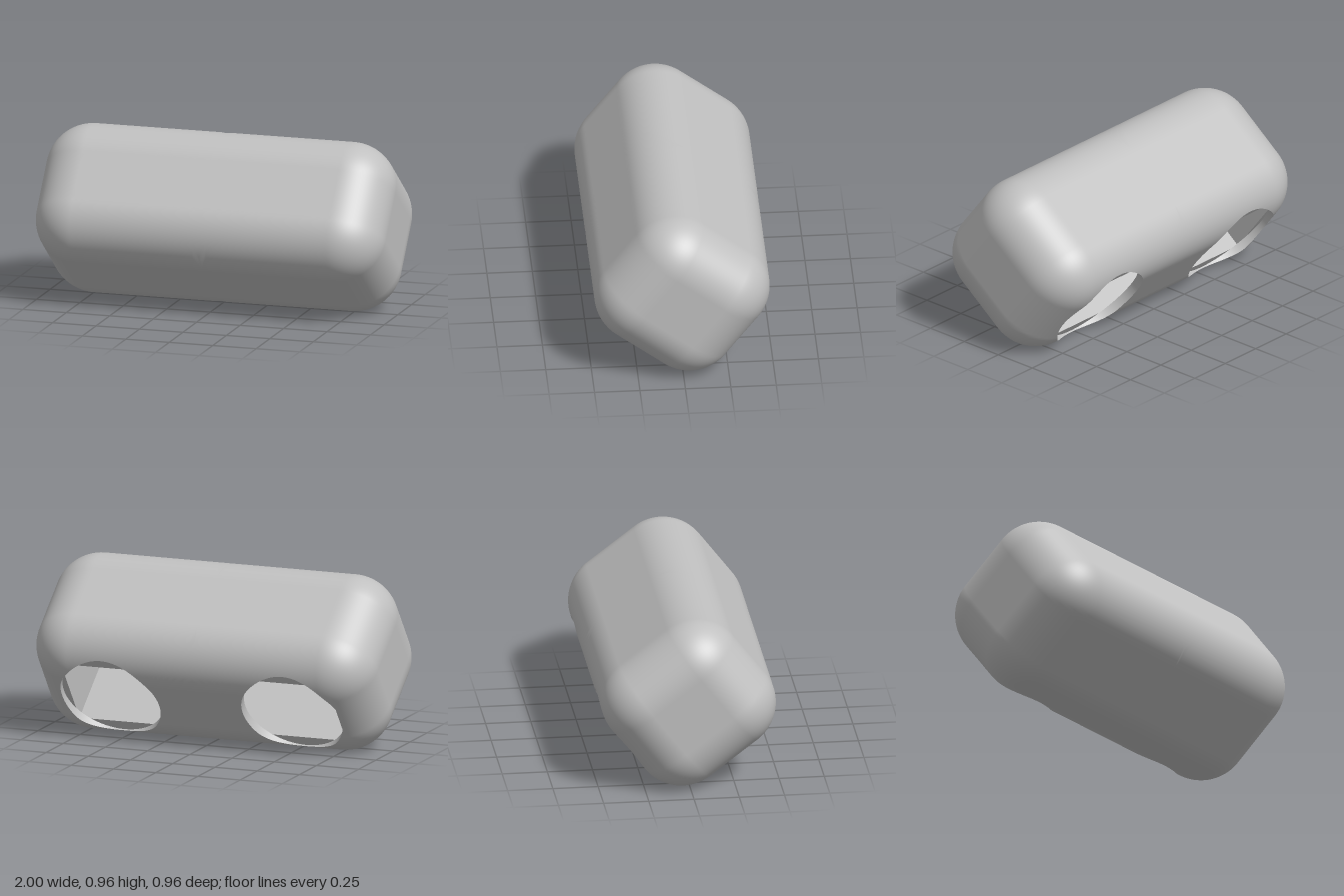
import * as THREE from 'three';

const ROUND = 0.26;                                   // edge radius of the body
const CORE = new THREE.Vector3(0.74, 0.165, 0.15);    // half size inside the rounding
const HOLE_X = 0.537, HOLE_R = 0.29;                  // two round openings
const LEDGE_Y = 0.375, FLOOR_Y = -0.38;               // top and floor of the cavity
const CAVITY_X = 0.79, CAVITY_Z = 0.225;              // cavity half size

// Distance of a plan position beyond the core rectangle
const beyond = (x, z) => Math.hypot(
  Math.max(0, Math.abs(x) - CORE.x), Math.max(0, Math.abs(z) - CORE.z));

// Height of the rounded top over a plan position
const height = (x, z) =>
  CORE.y + Math.sqrt(Math.max(0, ROUND ** 2 - beyond(x, z) ** 2));

// Distance from the hole centre to the edge of a region, along an angle
function reach(angle, inside) {
  let near = 0, far = 2;
  for (let i = 0; i < 40; i++) {
    const mid = (near + far) / 2;
    if (inside(HOLE_X + mid * Math.cos(angle), mid * Math.sin(angle))) near = mid;
    else far = mid;
  }
  return near;
}

// Even angles around the hole, plus the exact directions of given corners
function anglesWith(corners) {
  const list = corners.map(([x, z]) => Math.atan2(z, x - HOLE_X));
  for (let i = 0; i <= 144; i++) list.push(-Math.PI + (i / 144) * Math.PI * 2);
  return list.sort((a, b) => a - b);
}

// Sheet of rings around the hole centre
function rings(rows, angles, pointAt) {
  const positions = [], index = [], n = angles.length;
  for (let i = 0; i < rows; i++) {
    for (const angle of angles) positions.push(...pointAt(i, angle));
  }
  for (let i = 0; i < rows - 1; i++) {
    for (let j = 0; j < n - 1; j++) {
      const a = i * n + j, b = a + 1, c = a + n, d = c + 1;
      index.push(a, b, c, b, d, c);
    }
  }
  const geometry = new THREE.BufferGeometry();
  geometry.setAttribute('position', new THREE.Float32BufferAttribute(positions, 3));
  geometry.setIndex(index);
  geometry.computeVertexNormals();
  return geometry;
}

// A quarter of the outer shell, from the opening out and down to mid height
function shellQuarter(holeRadius) {
  const steps = 28;
  const halfBody = (x, z) => x >= 0 && beyond(x, z) <= ROUND;
  const side = CORE.z + ROUND;
  const geometry = rings(steps + 2, anglesWith([[0, side], [0, -side]]), (i, angle) => {
    const s = Math.sin((Math.min(i, steps) / steps) * Math.PI / 2);
    const distance = THREE.MathUtils.lerp(holeRadius, reach(angle, halfBody), s);
    const x = HOLE_X + distance * Math.cos(angle), z = distance * Math.sin(angle);
    const drops = i > steps && beyond(x, z) > ROUND - 1e-4;
    return [x, drops ? 0 : height(x, z), z];
  });
  // Smooth normals point away from the core
  const p = new THREE.Vector3(), c = new THREE.Vector3();
  const min = CORE.clone().negate();
  const { position, normal } = geometry.attributes;
  for (let i = 0; i < position.count; i++) {
    p.fromBufferAttribute(position, i);
    c.copy(p).clamp(min, CORE);
    p.sub(c).normalize();
    normal.setXYZ(i, p.x, p.y, p.z);
  }
  return geometry;
}

// Short wall of an opening, from the ledge up to the curved surface
function holeWall() {
  return rings(2, anglesWith([]), (i, angle) => {
    const x = HOLE_X + HOLE_R * Math.cos(angle), z = HOLE_R * Math.sin(angle);
    return [x, i ? height(x, z) : LEDGE_Y, z];
  });
}

// Flat ledge inside the opening and ceiling of the cavity around it
function ledge() {
  const halfCavity = (x, z) => x >= 0 && x <= CAVITY_X && Math.abs(z) <= CAVITY_Z;
  const corners = [0, CAVITY_X].flatMap(x => [[x, CAVITY_Z], [x, -CAVITY_Z]]);
  return rings(2, anglesWith(corners), (i, angle) => {
    const d = i ? reach(angle, halfCavity) : HOLE_R;
    return [HOLE_X + d * Math.cos(angle), LEDGE_Y, d * Math.sin(angle)];
  });
}

// Inward-facing box without its top
function cavity() {
  const geometry = new THREE.BoxGeometry(CAVITY_X * 2, LEDGE_Y - FLOOR_Y, CAVITY_Z * 2);
  const index = Array.from(geometry.index.array);
  index.splice(12, 6);
  geometry.setIndex(index.reverse());
  geometry.clearGroups();
  geometry.computeVertexNormals();
  geometry.translate(0, (LEDGE_Y + FLOOR_Y) / 2, 0);
  return geometry;
}

export function createModel() {
  const grey = new THREE.MeshStandardMaterial({ color: 0xc0c0c0, side: THREE.DoubleSide });
  grey.name = 'light grey';

  const body = new THREE.Group();
  body.name = 'hollowBody';
  const add = (name, geometry, turnX = 0, turnY = 0) => {
    const mesh = new THREE.Mesh(geometry, grey);
    mesh.name = name;
    mesh.rotation.set(turnX, turnY, 0);
    body.add(mesh);
  };

  const pierced = shellQuarter(HOLE_R), closed = shellQuarter(0);
  const wall = holeWall(), rim = ledge();
  for (const [end, turn] of [['left', 0], ['right', Math.PI]]) {
    add(end + 'PiercedShell', pierced, 0, turn);
    add(end + 'ClosedShell', closed, Math.PI, turn);
    add(end + 'HoleWall', wall, 0, turn);
    add(end + 'HoleLedge', rim, 0, turn);
  }
  add('cavity', cavity());

  // Tilt so that the openings face down and back
  body.rotation.x = THREE.MathUtils.degToRad(-127.5);
  body.position.y = 0.48;

  const model = new THREE.Group();
  model.name = 'model';
  model.add(body);
  return model;
}
